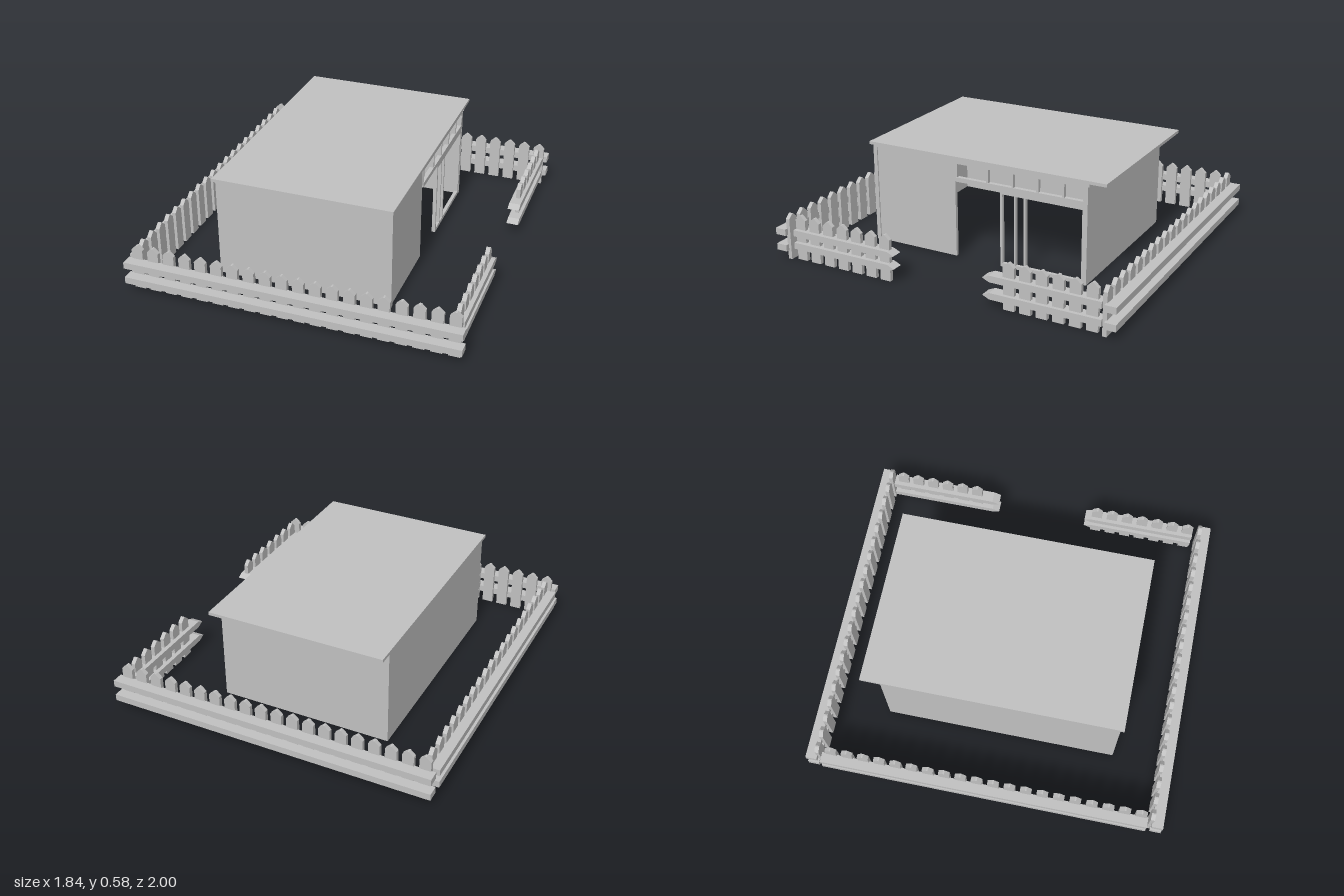
import * as THREE from 'three';

export function createModel() {
  const model = new THREE.Group();
  const grey = new THREE.MeshStandardMaterial({ color: 0xc0c0c0 });
  grey.name = 'plainGrey';

  // Box given by its limits on each axis
  function box(parent, name, x0, x1, y0, y1, z0, z1) {
    const mesh = new THREE.Mesh(new THREE.BoxGeometry(x1 - x0, y1 - y0, z1 - z0), grey);
    mesh.position.set((x0 + x1) / 2, (y0 + y1) / 2, (z0 + z1) / 2);
    mesh.name = name;
    parent.add(mesh);
    return mesh;
  }

  function group(name) {
    const g = new THREE.Group();
    g.name = name;
    model.add(g);
    return g;
  }

  // Flat outline extruded by a depth, centred on that depth
  function plate(points, depth) {
    const shape = new THREE.Shape(points.map(([x, y]) => new THREE.Vector2(x, y)));
    return new THREE.ExtrudeGeometry(shape, { depth, bevelEnabled: false }).translate(0, 0, -depth / 2);
  }

  // Picket with a pointed top
  const picketGeometry = plate(
    [[-0.031, 0.005], [0.031, 0.005], [0.031, 0.237], [0.004, 0.262], [-0.004, 0.262], [-0.031, 0.237]], 0.023);

  function picket(parent, x, z, turned) {
    const mesh = new THREE.Mesh(picketGeometry, grey);
    mesh.position.set(x, 0, z);
    if (turned) mesh.rotation.y = Math.PI / 2;
    mesh.name = 'picket';
    parent.add(mesh);
  }

  // Rail along z with one pointed end
  function pointedRail(parent, x, y0, y1, zEnd, zTip) {
    const mid = (y0 + y1) / 2;
    const zNeck = zTip + Math.sign(zEnd - zTip) * 0.04;
    const geometry = plate([[-zEnd, y0], [-zNeck, y0], [-zTip, mid], [-zNeck, y1], [-zEnd, y1]], 0.065);
    const mesh = new THREE.Mesh(geometry, grey);
    mesh.rotation.y = Math.PI / 2;
    mesh.position.x = x;
    mesh.name = 'pointedRail';
    parent.add(mesh);
  }

  // Front and back fences, rails on the outside
  for (const side of [1, -1]) {
    const fence = group(side > 0 ? 'frontFence' : 'backFence');
    const z0 = side > 0 ? 0.937 : -1;
    for (const y of [0.055, 0.146]) box(fence, 'rail', -0.91, 0.917, y, y + 0.037, z0, z0 + 0.063);
    for (let i = 0; i < 20; i++) picket(fence, -0.855 + i * 0.0905, side * 0.933, false);
  }

  // Fence on the closed side
  const closedFence = group('rightFence');
  for (const y of [0.074, 0.146]) box(closedFence, 'rail', -0.92, -0.863, y, y + 0.036, -0.915, 0.912);
  for (let i = 0; i < 20; i++) picket(closedFence, -0.858, -0.862 + i * 0.0912, true);

  // Two short fences beside the gateway
  const gateFront = group('leftFenceFront');
  for (const y of [0.073, 0.146]) pointedRail(gateFront, 0.865, y, y + 0.036, 0.897, 0.252);
  for (let i = 0; i < 7; i++) picket(gateFront, 0.864, 0.322 + i * 0.0902, true);
  const gateBack = group('leftFenceBack');
  for (const y of [0.052, 0.146]) pointedRail(gateBack, 0.862, y, y + 0.036, -0.915, -0.27);
  for (let i = 0; i < 6; i++) picket(gateBack, 0.864, -0.408 - i * 0.0902, true);

  // House shell, open underneath
  const house = group('house');
  box(house, 'roof', -0.53, 0.46, 0.573, 0.59, -0.735, 0.687);
  box(house, 'frontWall', -0.518, 0.452, 0.012, 0.573, 0.645, 0.668);
  box(house, 'backWall', -0.518, 0.452, 0.012, 0.573, -0.63, -0.612);
  box(house, 'sideWall', -0.518, -0.5, 0.012, 0.573, -0.612, 0.645);
  box(house, 'sidePanel', 0.425, 0.445, 0.012, 0.56, 0.15, 0.645);
  box(house, 'eaveBoard', 0.425, 0.452, 0.56, 0.573, -0.612, 0.645);
  box(house, 'eaveBlock', 0.425, 0.456, 0.555, 0.573, -0.64, -0.63);

  // Row of high window openings
  const transom = group('highWindows');
  box(transom, 'upperBar', 0.428, 0.45, 0.547, 0.56, -0.612, 0.15);
  box(transom, 'lowerBar', 0.428, 0.452, 0.447, 0.472, -0.612, 0.15);
  const mullions = [[0.135, 0.15], [-0.055, -0.042], [-0.204, -0.193], [-0.35, -0.338], [-0.497, -0.485], [-0.612, -0.603]];
  for (const [a, b] of mullions.map(([p, q]) => [Math.min(p, q), Math.max(p, q)])) {
    box(transom, 'mullion', 0.428, 0.45, 0.472, 0.547, a, b);
  }

  // Open frame of the sliding door and large window
  const frame = group('doorFrame');
  box(frame, 'header', 0.43, 0.45, 0.425, 0.447, -0.612, -0.125);
  box(frame, 'sill', 0.43, 0.45, 0.012, 0.032, -0.612, -0.125);
  for (const [a, b] of [[-0.139, -0.125], [-0.218, -0.208], [-0.277, -0.265], [-0.612, -0.6]]) {
    box(frame, 'post', 0.43, 0.45, 0.032, 0.425, a, b);
  }
  return model;
}
